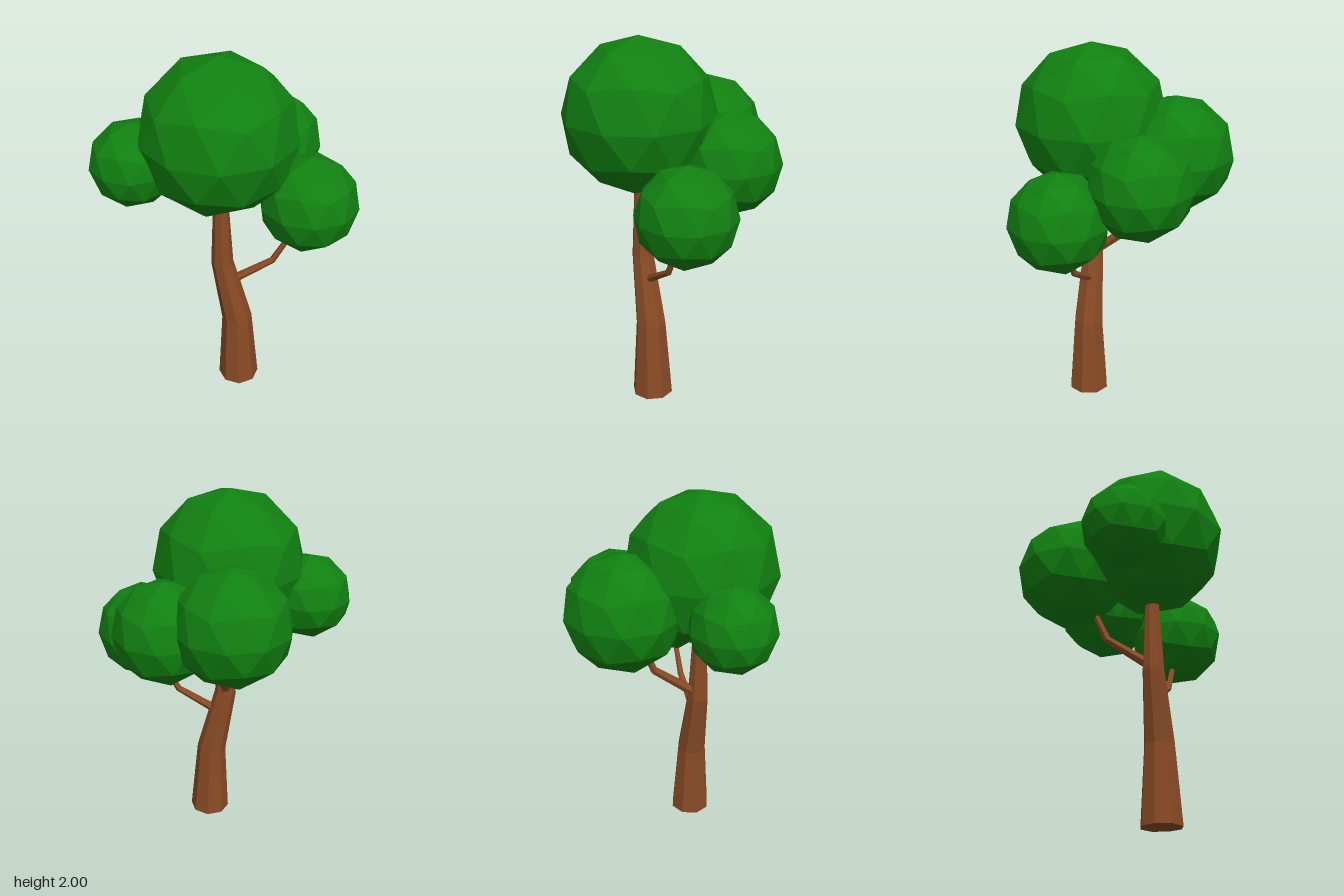
import * as THREE from 'three';

const bark = new THREE.MeshStandardMaterial({ color: 0x8a4b25, flatShading: true });
const leaf = new THREE.MeshStandardMaterial({ color: 0x118011, flatShading: true });

// Tapered limb: rings of given radii set square to a path; ref is a direction across the path's plane
function limb(name, path, radii, sides, ref) {
  const pts = path.map(p => new THREE.Vector3(...p));
  const last = pts.length - 1;
  const dir = i => pts[i + 1].clone().sub(pts[i]).normalize();
  const pos = [], index = [];
  pts.forEach((c, i) => {
    const t = dir(Math.max(i - 1, 0)).add(dir(Math.min(i, last - 1))).normalize();
    const u = ref.clone().addScaledVector(t, -ref.dot(t)).normalize();
    const v = t.clone().cross(u);
    for (let j = 0; j < sides; j++) {
      const a = j / sides * Math.PI * 2;
      const p = c.clone().addScaledVector(u, radii[i] * Math.cos(a)).addScaledVector(v, radii[i] * Math.sin(a));
      pos.push(p.x, i === 0 ? Math.max(p.y, 0) : p.y, p.z);
    }
  });
  for (let i = 0; i < last; i++) {
    for (let j = 0; j < sides; j++) {
      const k = (j + 1) % sides, a = i * sides, b = a + sides;
      index.push(a + j, a + k, b + k, a + j, b + k, b + j);
    }
  }
  // End caps
  const top = last * sides;
  for (let j = 1; j < sides - 1; j++) {
    index.push(0, j + 1, j, top, top + j, top + j + 1);
  }
  const geo = new THREE.BufferGeometry();
  geo.setAttribute('position', new THREE.Float32BufferAttribute(pos, 3));
  geo.setIndex(index);
  const flat = geo.toNonIndexed();
  flat.computeVertexNormals();
  const mesh = new THREE.Mesh(flat, bark);
  mesh.name = name;
  return mesh;
}

// Faceted ball of leaves with one corner pointing straight up
function foliage(name, x, y, z, r) {
  const geo = new THREE.IcosahedronGeometry(r, 1);
  geo.rotateZ(-Math.atan(2 / (1 + Math.sqrt(5))));
  const mesh = new THREE.Mesh(geo, leaf);
  mesh.position.set(x, y, z);
  mesh.name = name;
  return mesh;
}

export function createModel() {
  const tree = new THREE.Group();
  tree.name = 'tree';
  const X = new THREE.Vector3(1, 0, 0), Z = new THREE.Vector3(0, 0, 1);

  // Trunk and branches
  tree.add(
    limb('trunk', [[0.073, 0, 0.17], [0.06, 0.43, 0.17], [-0.022, 0.815, 0.17], [-0.03, 1.25, 0.17]],
      [0.113, 0.083, 0.06, 0.037], 8, Z),
    limb('leftBranch', [[0.02, 0.68, 0.17], [0.25, 0.815, 0.17], [0.37, 1.03, 0.17]],
      [0.025, 0.018, 0.013], 6, Z),
    limb('backBranch', [[-0.025, 0.83, 0.17], [-0.03, 1.03, -0.09], [-0.04, 1.24, -0.18]],
      [0.03, 0.022, 0.016], 6, X)
  );

  // Crown
  tree.add(
    foliage('mainFoliage', -0.04, 1.59, 0.17, 0.41),
    foliage('rightFoliage', -0.466, 1.435, 0.165, 0.225),
    foliage('leftFoliage', 0.427, 1.188, 0.17, 0.263),
    foliage('backLeftFoliage', 0.25, 1.355, -0.2, 0.275),
    foliage('backFoliage', -0.1, 1.435, -0.275, 0.31)
  );
  return tree;
}
